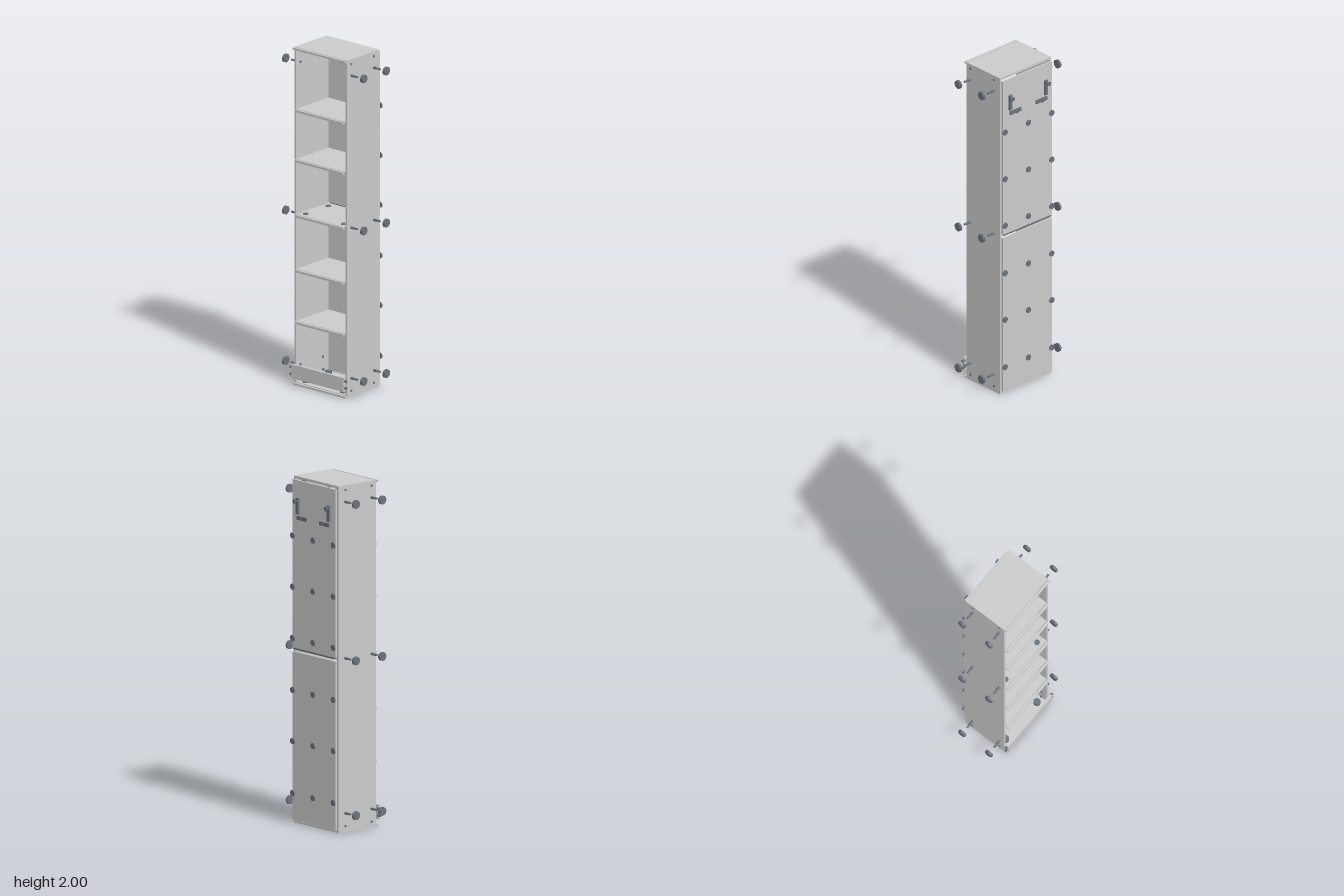
import * as THREE from 'three';

const grey = new THREE.MeshStandardMaterial({ color: 0xcccccc });
const metal = new THREE.MeshStandardMaterial({ color: 0x6c737b });

export function createModel() {
  const model = new THREE.Group();

  // box given by its min and max on each axis
  function box(name, [x0, x1], [y0, y1], [z0, z1], material = grey, parent = model) {
    const mesh = new THREE.Mesh(new THREE.BoxGeometry(x1 - x0, y1 - y0, z1 - z0), material);
    mesh.position.set((x0 + x1) / 2, (y0 + y1) / 2, (z0 + z1) / 2);
    mesh.name = name;
    parent.add(mesh);
    return mesh;
  }

  // round bar along an axis, from a to b; at = the centre (its entry on that axis is ignored)
  function bar(name, axis, a, b, radius, at, parent = model) {
    const mesh = new THREE.Mesh(new THREE.CylinderGeometry(radius, radius, Math.abs(b - a), 24), metal);
    if (axis === 'x') mesh.rotation.z = Math.PI / 2;
    if (axis === 'z') mesh.rotation.x = Math.PI / 2;
    mesh.position.set(...at);
    mesh.position[axis] = (a + b) / 2;
    mesh.name = name;
    parent.add(mesh);
    return mesh;
  }

  const depth = [-0.129, 0.147];
  const rows = [0.11, 1.003, 1.905];
  const columns = [-0.08, 0.113];

  // carcass
  box('topPanel', [-0.198, 0.198], [1.986, 2], depth);
  box('bottomPanel', [-0.198, 0.198], [0, 0.014], depth);
  for (const s of [-1, 1]) box('sidePanel', s < 0 ? [-0.198, -0.184] : [0.184, 0.198], [0.014, 1.986], depth);

  // shelves with loose edge strips in front
  for (const y of [0.37, 0.677, 1.003, 1.33, 1.627]) {
    box('shelf', [-0.184, 0.184], [y - 0.007, y + 0.007], depth);
    box('shelfEdgeStrip', [-0.182, 0.182], [y - 0.007, y + 0.007], [0.152, 0.165]);
  }
  box('topEdgeStrip', [-0.197, 0.197], [1.988, 2], [0.152, 0.165]);
  box('bottomEdgeStrip', [-0.197, 0.197], [0, 0.012], [0.152, 0.165]);

  // plinth with end pins
  box('plinth', [-0.198, 0.198], [0.042, 0.125], [0.163, 0.178]);
  for (const s of [-1, 1])
    for (const y of [0.063, 0.104]) bar('plinthPin', 'x', s * 0.19, s * 0.213, 0.007, [0, y, 0.167]);

  // back panels
  box('lowerBackPanel', [-0.19, 0.19], [0.02, 0.99], [-0.145, -0.135]);
  box('upperBackPanel', [-0.19, 0.19], [1.012, 1.982], [-0.145, -0.135]);
  box('backJointStrip', [-0.182, 0.182], [1.004, 1.012], [-0.147, -0.137], metal);

  // back panel buttons
  for (const y of [0.175, 0.475, 0.77, 1.07, 1.365, 1.66])
    for (const x of [-0.18, 0, 0.18]) {
      const button = new THREE.Group();
      button.name = 'backButton';
      bar('buttonStem', 'z', -0.145, -0.151, 0.007, [x, y, 0], button);
      bar('buttonHead', 'z', -0.15, -0.157, 0.0175, [x, y, 0], button);
      model.add(button);
    }

  for (const s of [-1, 1]) {
    // wall brackets: upright and level plate, each with a screw
    const bracket = new THREE.Group();
    bracket.name = 'wallBracket';
    const span = (a, b) => (s > 0 ? [a, b] : [-b, -a]);
    box('uprightPlate', span(0.126, 0.148), [1.79, 1.882], [-0.157, -0.148], metal, bracket);
    box('levelPlate', span(0.058, 0.142), [1.758, 1.78], [-0.157, -0.148], metal, bracket);
    bar('largeScrew', 'z', -0.145, -0.175, 0.007, [s * 0.139, 1.866, 0], bracket);
    bar('largeScrewHead', 'z', -0.173, -0.178, 0.013, [s * 0.139, 1.866, 0], bracket);
    bar('smallScrew', 'z', -0.145, -0.165, 0.004, [s * 0.1, 1.769, 0], bracket);
    bar('smallScrewHead', 'z', -0.164, -0.168, 0.009, [s * 0.1, 1.769, 0], bracket);
    model.add(bracket);

    for (const z of columns) {
      for (const y of rows) {
        // pulled-out dowel, its tip inside and the slotted cam disc outside
        bar('dowelThickEnd', 'x', s * 0.18, s * 0.223, 0.0075, [0, y, z]);
        bar('dowelThinEnd', 'x', s * 0.223, s * 0.247, 0.006, [0, y, z]);
        const cam = new THREE.Group();
        cam.name = 'camDisc';
        bar('camBody', 'x', s * 0.286, s * 0.299, 0.025, [0, y, z], cam);
        bar('camRim', 'x', s * 0.298, s * 0.302, 0.021, [0, y, z], cam);
        box('camSlot', span(0.3, 0.303), [y - 0.002, y + 0.002], [z - 0.02, z + 0.02], metal, cam);
        model.add(cam);
      }
      // small side screws and inner fittings
      for (const y of [0.035, 1.973]) bar('sideScrew', 'x', s * 0.175, s * 0.201, 0.007, [0, y, z]);
      bar('topFitting', 'y', 1.972, 1.986, 0.02, [s * 0.142, 0, z]);
      bar('shelfFitting', 'y', 1.008, 1.015, 0.016, [s * 0.142, 0, z]);
      bar('bottomFitting', 'y', 0.014, 0.036, 0.02, [s * 0.142, 0, z]);
    }
  }
  return model;
}
